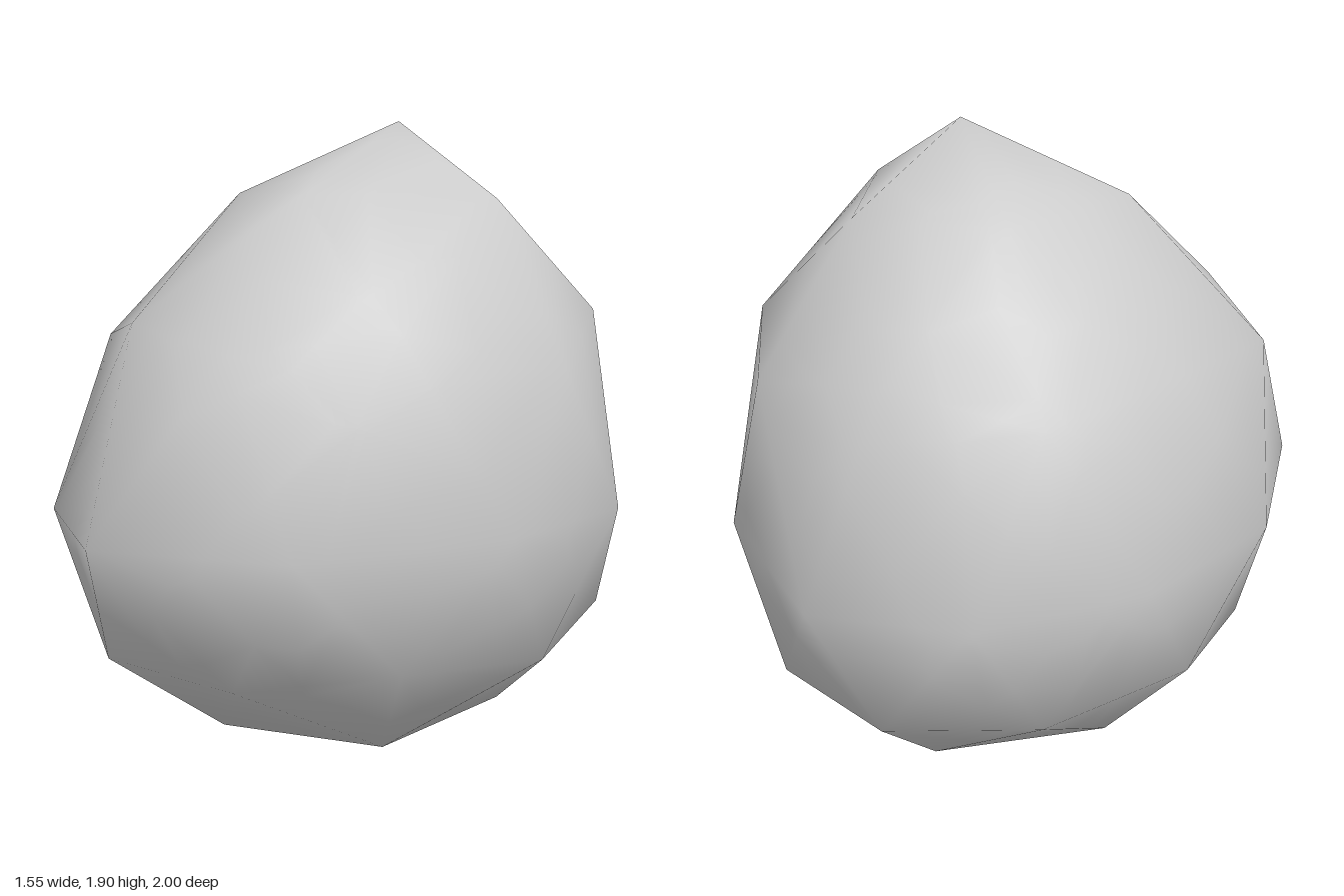
import * as THREE from 'three';
import { ConvexGeometry } from 'three/addons/geometries/ConvexGeometry.js';

const CORE = new THREE.Vector3(0, 0.8, -0.1);
const SHARDS = 130;

// small seeded generator for the uneven crack pattern
function seeded(s) {
  return () => (s = (s * 16807) % 2147483647) / 2147483647;
}

// stretch a unit direction into the lopsided egg
function stretch(d) {
  return new THREE.Vector3(d.x * 0.8, d.y * (d.y > 0 ? 1.05 : 0.8), d.z * (d.z > 0 ? 0.95 : 0.86)).add(CORE);
}

// corners of the stone that are pushed or pulled by hand
const PULLED = [
  [0.11, 1.905, -0.14], [0, 0, -0.1],
  [0.015, 0.81, 1], [-0.14, 0.775, -1], [0.39, 0.8, -0.81], [-0.56, 0.8, -0.81],
  [0.49, 0.8, 0.73], [-0.46, 0.8, 0.73], [0.775, 0.81, 0.17], [-0.775, 0.81, -0.36],
  [0.5, 1.69, -0.1], [-0.265, 1.695, 0.15], [-0.265, 1.695, -0.35],
  [0.13, 1.7, 0.3], [0.13, 1.69, -0.54],
  [0.745, 1.23, -0.1], [-0.65, 1.31, -0.1], [0.22, 1.3, 0.69], [0.22, 1.28, -0.82],
  [-0.21, 1.35, 0.63], [-0.21, 1.35, -0.77],
  [-0.22, 0.4, 0.74], [-0.22, 0.37, -0.82], [0.69, 0.39, -0.1],
].map(a => new THREE.Vector3(...a));

// 42-corner stone: triangles whose corners carry position and smooth normal
function stoneTriangles() {
  const dirs = [new THREE.Vector3(0, 1, 0), new THREE.Vector3(0, -1, 0)];
  const rows = [[0.8507, 0], [0.5257, 36], [0.4472, 0], [0, 18], [0, 54], [-0.4472, 36], [-0.5257, 0], [-0.8507, 36]];
  for (const [y, start] of rows) {
    const r = Math.sqrt(1 - y * y);
    for (let k = 0; k < 5; k++) {
      const a = THREE.MathUtils.degToRad(start + 72 * k);
      dirs.push(new THREE.Vector3(r * Math.cos(a), y, r * Math.sin(a)));
    }
  }
  const nearest = (list, p) => list.reduce((best, q, i) =>
    q.distanceToSquared(p) < list[best].distanceToSquared(p) ? i : best, 0);

  const base = dirs.map(stretch);
  const points = base.map(p => p.clone());
  for (const p of PULLED) points[nearest(base, p)].copy(p);

  const hull = new ConvexGeometry(dirs).attributes.position;
  const normals = points.map(() => new THREE.Vector3());
  const faces = [];
  for (let i = 0; i < hull.count; i += 3) {
    const f = [0, 1, 2].map(j => nearest(dirs, new THREE.Vector3().fromBufferAttribute(hull, i + j)));
    const [a, b, c] = f.map(j => points[j]);
    const n = b.clone().sub(a).cross(c.clone().sub(a));
    f.forEach(j => normals[j].add(n));
    faces.push(f);
  }
  normals.forEach(n => n.normalize());
  return faces.map(f => f.map(j => ({ p: points[j], n: normals[j] })));
}

// keep the part of a polygon that lies nearer to seed a than to seed b
function clipToSeed(poly, a, b) {
  const side = v => v.p.distanceToSquared(a) - v.p.distanceToSquared(b);
  const out = [];
  poly.forEach((v, i) => {
    const w = poly[(i + 1) % poly.length];
    const s = side(v), t = side(w);
    if (s <= 0) out.push(v);
    if (s * t < 0) {
      const k = s / (s - t);
      out.push({ p: v.p.clone().lerp(w.p, k), n: v.n.clone().lerp(w.n, k) });
    }
  });
  return out.length > 2 ? out : [];
}

// one thick shard: outer skin, inner skin and the broken walls between them
function shardGeometry(triangles, seeds, own) {
  const seed = seeds[own];
  const others = seeds.filter(s => s !== seed).sort((a, b) => a.distanceToSquared(seed) - b.distanceToSquared(seed));
  const position = [], normal = [];
  const add = (p, n) => { position.push(p.x, p.y, p.z); normal.push(n.x, n.y, n.z); };
  const inward = p => p.clone().lerp(CORE, 0.25);

  for (const tri of triangles) {
    let poly = tri;
    for (const s of others) {
      poly = clipToSeed(poly, seed, s);
      if (!poly.length) break;
    }
    for (let i = 1; i < poly.length - 1; i++) {
      for (const v of [poly[0], poly[i], poly[i + 1]]) add(v.p, v.n.clone().normalize());
      for (const v of [poly[0], poly[i + 1], poly[i]]) add(inward(v.p), v.n.clone().normalize().negate());
    }
    // walls stand only where an edge lies on a crack
    poly.forEach((v, i) => {
      const w = poly[(i + 1) % poly.length];
      const mid = v.p.clone().lerp(w.p, 0.5);
      const d = mid.distanceTo(seed);
      if (!others.some(s => Math.abs(mid.distanceTo(s) - d) < 1e-6)) return;
      const a = inward(v.p), b = inward(w.p);
      const n = a.clone().sub(v.p).cross(w.p.clone().sub(v.p)).normalize();
      for (const p of [v.p, a, w.p, w.p, a, b]) add(p, n);
    });
  }
  const g = new THREE.BufferGeometry();
  g.setAttribute('position', new THREE.Float32BufferAttribute(position, 3));
  g.setAttribute('normal', new THREE.Float32BufferAttribute(normal, 3));
  return g;
}

export function createModel() {
  const model = new THREE.Group();
  model.name = 'crackedStone';
  const material = new THREE.MeshStandardMaterial({ color: 0xcccccc });

  // jittered spiral of shard centres just under the skin
  const random = seeded(41);
  const seeds = [];
  for (let i = 0; i < SHARDS; i++) {
    const y = 1 - (2 * i + 1) / SHARDS;
    const r = Math.sqrt(1 - y * y);
    const a = i * 2.39996;
    const d = new THREE.Vector3(r * Math.cos(a), y, r * Math.sin(a));
    d.add(new THREE.Vector3(random() - 0.5, random() - 0.5, random() - 0.5).multiplyScalar(0.24)).normalize();
    seeds.push(stretch(d).lerp(CORE, 0.1));
  }

  const triangles = stoneTriangles();
  seeds.forEach((_, i) => {
    const geometry = shardGeometry(triangles, seeds, i);
    if (!geometry.attributes.position.count) return;
    const shard = new THREE.Mesh(geometry, material);
    shard.name = 'shard' + (i + 1);
    model.add(shard);
  });
  return model;
}
